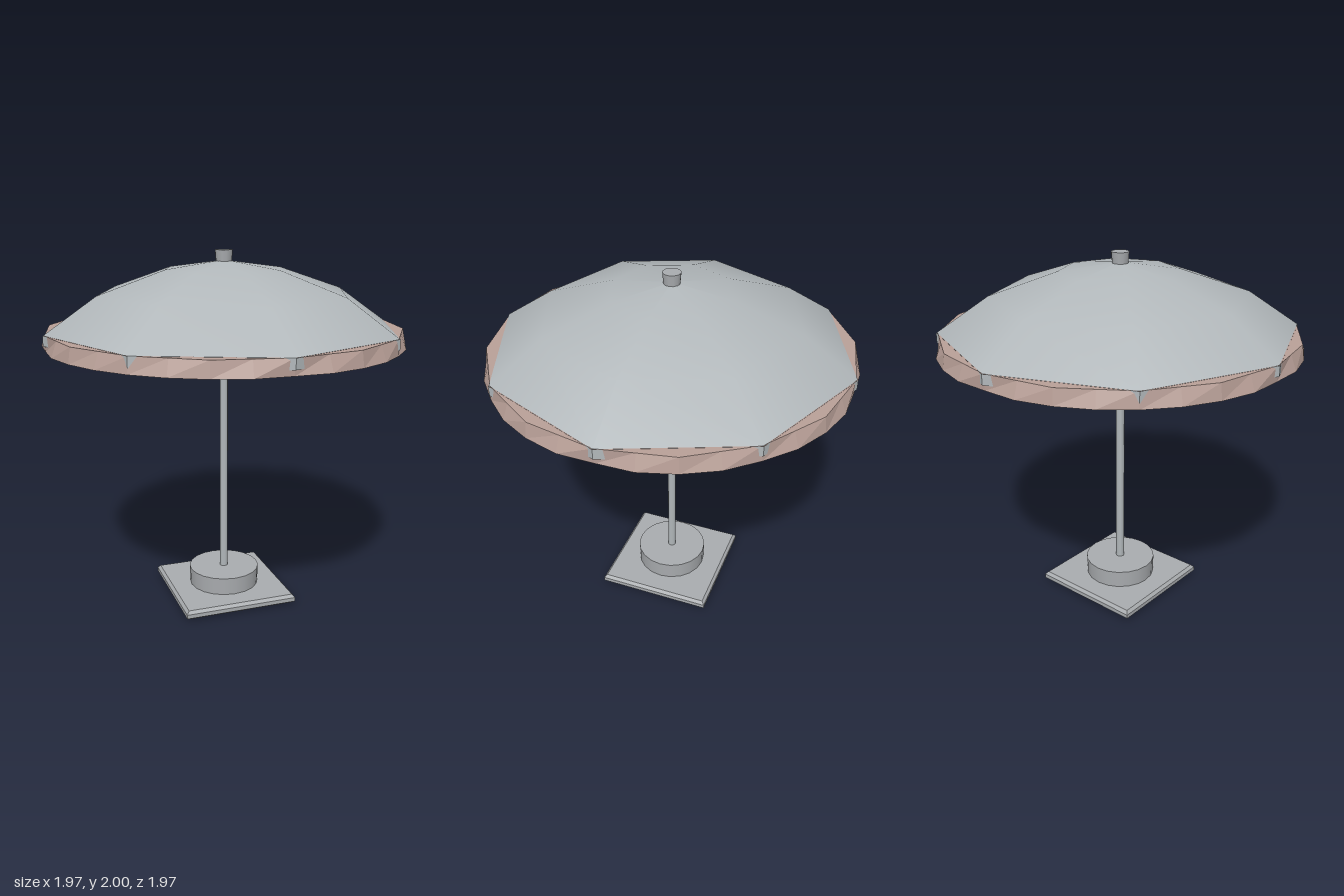
import * as THREE from 'three';

export function createModel() {
  const model = new THREE.Group();
  const material = (name, color) => {
    const m = new THREE.MeshStandardMaterial({ color });
    m.name = name;
    return m;
  };
  const canopyGrey = material('canopy grey', 0xb2b8bb);
  const baseGrey = material('base grey', 0xa9acaf);
  const rimPink = material('rim dusty pink', 0xb9a098);

  const add = (name, geometry, mat, y = 0) => {
    const mesh = new THREE.Mesh(geometry, mat);
    mesh.name = name;
    mesh.position.y = y;
    model.add(mesh);
    return mesh;
  };
  const lathe = (points, sides, start = 0) =>
    new THREE.LatheGeometry(points.map(([r, y]) => new THREE.Vector2(r, y)), sides, start);

  // Square foot with bevelled edges
  const q = Math.SQRT2;
  const foot = lathe([[0, 0], [0.27 * q, 0], [0.305 * q, 0.006], [0.325 * q, 0.02],
    [0.325 * q, 0.043], [0.31 * q, 0.06], [0, 0.06]], 4, Math.PI / 4).toNonIndexed();
  foot.computeVertexNormals();
  add('foot', foot, baseGrey);

  // Round weight and pole
  add('weight', new THREE.CylinderGeometry(0.203, 0.2, 0.1, 20), baseGrey, 0.11);
  add('pole', new THREE.CylinderGeometry(0.024, 0.024, 1.79, 8), canopyGrey, 1.055);

  // Eight-ribbed canopy, smooth shaded
  add('canopy', lathe([[0.98, 1.585], [0.7, 1.775], [0.33, 1.9], [0, 1.946]], 8), canopyGrey);

  // Skirt whose corners poke through the rim
  const skirt = lathe([[0.984, 1.53], [0.984, 1.585]], 8).toNonIndexed();
  skirt.computeVertexNormals();
  add('canopySkirt', skirt, canopyGrey);

  // Rim disc: slightly flared, flattened at the four axis directions
  const rim = new THREE.CylinderGeometry(0.975, 0.988, 0.084, 32).toNonIndexed();
  const p = rim.attributes.position;
  for (let i = 0; i < p.count; i++) {
    const r = Math.hypot(p.getX(i), p.getZ(i));
    if (r < 0.1) continue;
    const step = Math.round(Math.atan2(p.getX(i), p.getZ(i)) / (Math.PI / 16));
    let k = 1;
    if (p.getY(i) < 0) {
      if (step % 8 === 0) k = 0.972 / r;
      else if (step % 8 === 4) k = 0.98 / r;
    } else if (step % 2 !== 0) {
      k = Math.cos(Math.PI / 16);
    }
    p.setX(i, p.getX(i) * k);
    p.setZ(i, p.getZ(i) * k);
  }
  rim.computeVertexNormals();
  add('rim', rim, rimPink, 1.542);

  // Top knob
  add('knob', new THREE.CylinderGeometry(0.049, 0.043, 0.07, 12), baseGrey, 1.965);

  return model;
}
